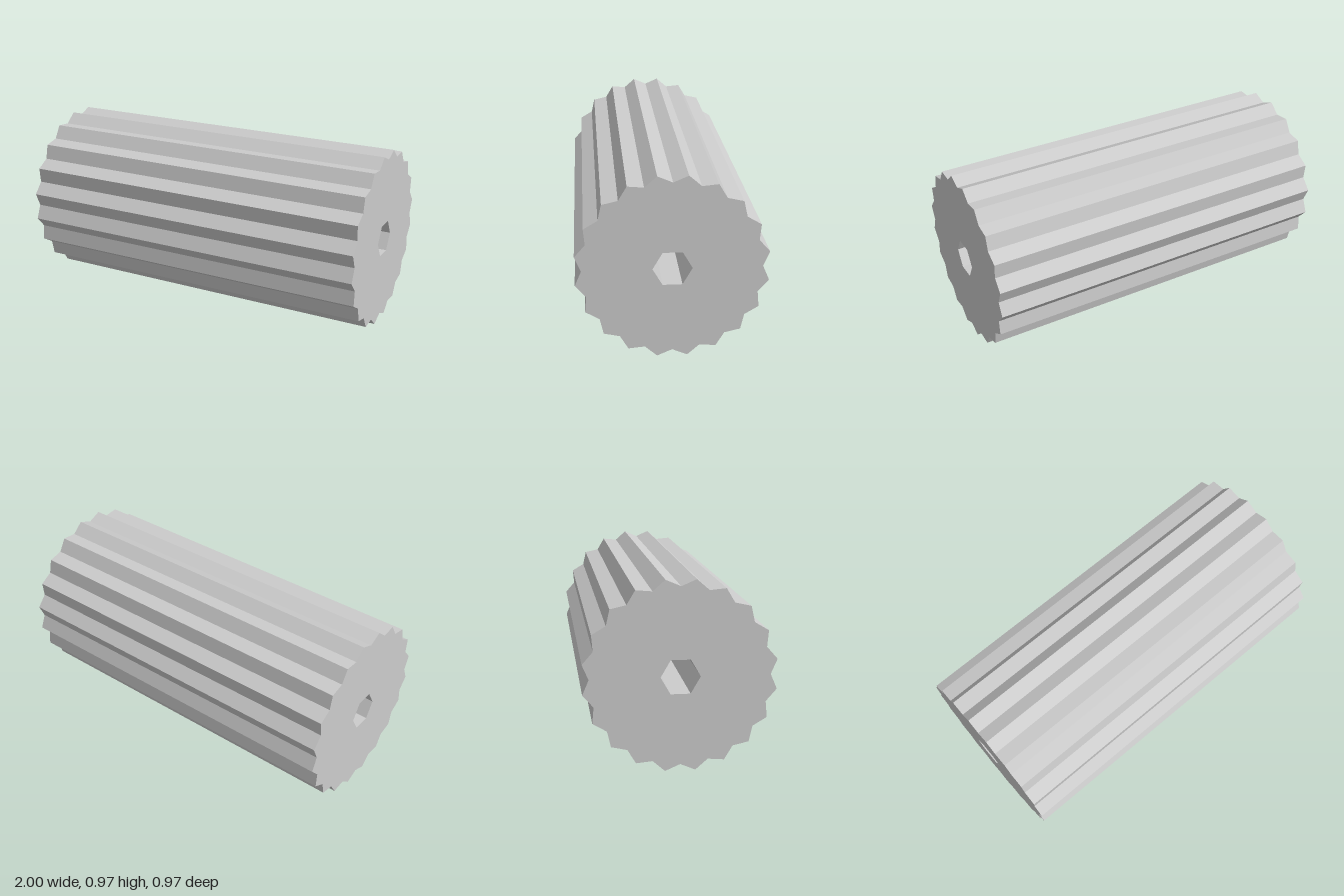
import * as THREE from 'three';

const TEETH = 20, TIP = 0.491, VALLEY = 0.452, BORE = 0.1, LENGTH = 2;

// Points around a circle; radiusAt(i) gives the radius of each corner
function ring(count, radiusAt) {
  return Array.from({ length: count }, (_, i) => {
    const a = (i / count) * Math.PI * 2;
    return new THREE.Vector2(Math.cos(a) * radiusAt(i), Math.sin(a) * radiusAt(i));
  });
}

export function createModel() {
  const group = new THREE.Group();
  group.name = 'flutedRoller';

  // Toothed section with a hexagonal bore, drawn out along the axle
  const section = new THREE.Shape(ring(TEETH * 2, i => (i % 2 ? TIP : VALLEY)));
  section.holes.push(new THREE.Path(ring(6, () => BORE)));
  const geometry = new THREE.ExtrudeGeometry(section, { depth: LENGTH, bevelEnabled: false });
  geometry.translate(0, 0, -LENGTH / 2);
  geometry.rotateY(Math.PI / 2);

  // Rests on its two lowest teeth
  geometry.translate(0, TIP * Math.cos(Math.PI / TEETH), 0);

  const roller = new THREE.Mesh(
    geometry,
    new THREE.MeshStandardMaterial({ color: 0xcccccc, flatShading: true })
  );
  roller.name = 'toothedRoller';
  group.add(roller);
  return group;
}
